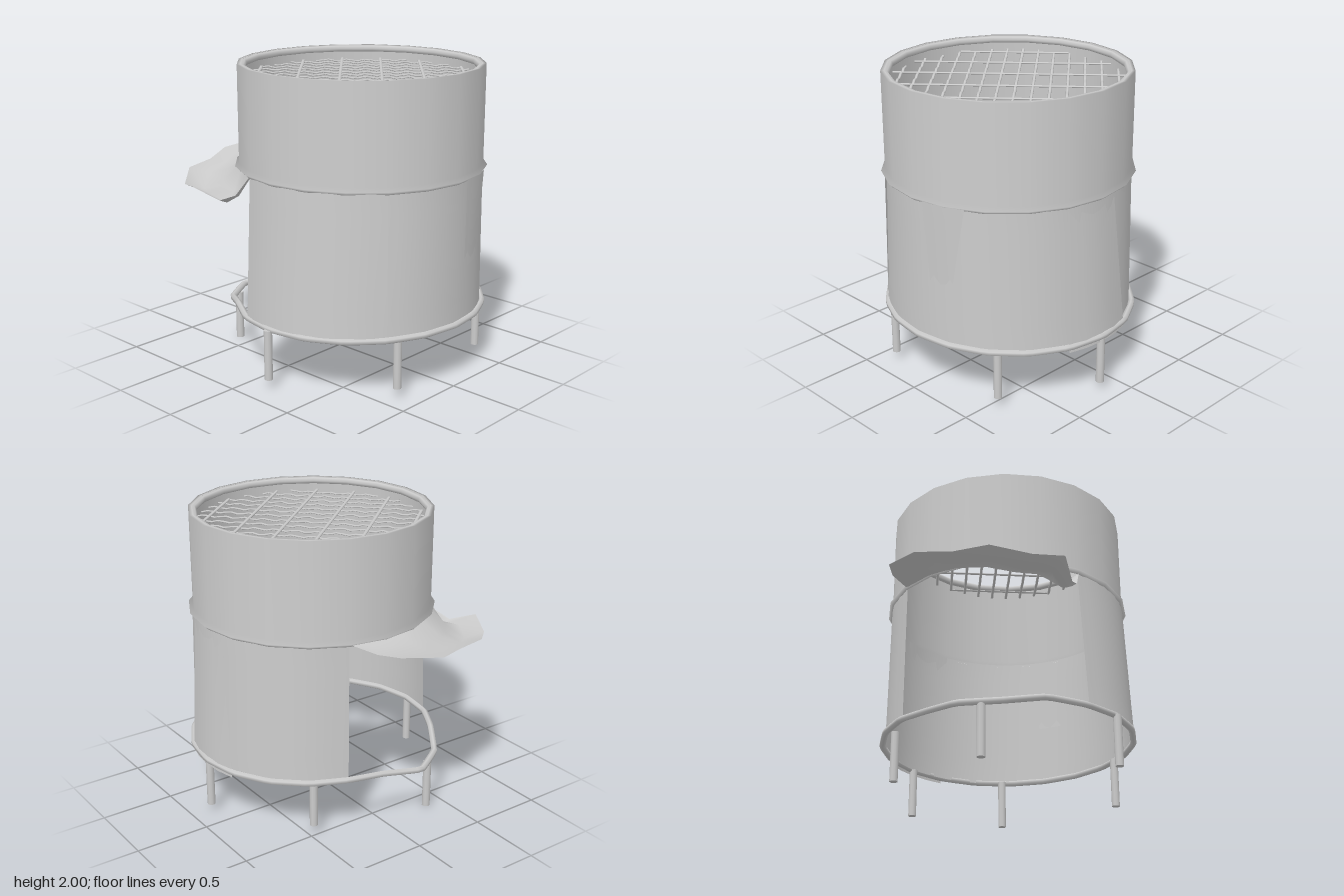
import * as THREE from 'three';

const CX = 0.16, CZ = -0.03, R = 0.802, SIDES = 20;
const rad = THREE.MathUtils.degToRad, lerp = THREE.MathUtils.lerp;

// point on the drum: angle in degrees (0 = +x, 90 = +z), radius, height
const polar = (deg, r, y) =>
  new THREE.Vector3(CX + r * Math.cos(rad(deg)), y, CZ + r * Math.sin(rad(deg)));

// smooth surface from a rule f(u, v) -> Vector3
function gridSurface(f, nu, nv) {
  const pos = [], index = [];
  for (let j = 0; j <= nv; j++)
    for (let i = 0; i <= nu; i++) pos.push(...f(i / nu, j / nv).toArray());
  for (let j = 0; j < nv; j++)
    for (let i = 0; i < nu; i++) {
      const a = j * (nu + 1) + i, b = a + 1, c = a + nu + 1, d = c + 1;
      index.push(a, b, c, b, d, c);
    }
  const g = new THREE.BufferGeometry();
  g.setAttribute('position', new THREE.Float32BufferAttribute(pos, 3));
  g.setIndex(index);
  g.computeVertexNormals();
  return g;
}

export function createModel() {
  const group = new THREE.Group();
  const steel = new THREE.MeshStandardMaterial({ color: 0xcccccc, side: THREE.DoubleSide });
  steel.name = 'bare steel';
  const add = (name, geometry, parent = group) => {
    const m = new THREE.Mesh(geometry, steel);
    m.name = name;
    parent.add(m);
    return m;
  };

  // upper drum wall running smoothly into the pointed lip at the middle
  const wall = [[0.806, 1.318], [0.828, 1.34], [R, 1.362], [R, 2], [0.778, 2]]
    .map(([r, y]) => new THREE.Vector2(r, y));
  add('upperDrum', new THREE.LatheGeometry(wall, SIDES)).position.set(CX, 0, CZ);

  // rim bead inside the top edge
  add('topRim', new THREE.TorusGeometry(0.772, 0.024, 6, SIDES).rotateX(Math.PI / 2))
    .position.set(CX, 1.976, CZ);

  // lower drum sheets, flared at the foot, more in front than behind
  const footRadius = (deg) => {
    const s = Math.sin(rad(deg));
    return R + (s > 0 ? 0.05 : 0.022) * s * s;
  };
  const sheet = (name, top, foot, lift, y1, n) =>
    add(name, gridSurface((u, v) => {
      const deg = lerp(lerp(top[0], top[1], u), lerp(foot[0], foot[1], u), v);
      const y = lerp(1.335, y1, v);
      const frontInset = 0.012 * Math.max(0, Math.sin(rad(deg)));
      const r = lerp(R - frontInset, footRadius(deg), (1.335 - y) / 0.935);
      return polar(deg, r + lerp(lift[0], lift[1], v), y);
    }, n, 6));
  sheet('lowerDrumBack', [-162, 40], [-162, 40], [-0.003, -0.003], 0.39, 24);
  sheet('lowerDrumFront', [36, 108], [36, 106.5], [0.01, 0], 0.4, 12);
  sheet('sidePatch', [-27, -6], [-20, -8], [0.016, -0.005], 0.8, 4);
  sheet('backOverlap', [-100, -72], [-107, -72], [-0.006, 0.025], 0.36, 4);

  // folded-up door flap: hinge along the middle lip, valley crease, ragged outer edge
  const outer = [
    [-0.63, 1.33, -0.27], [-0.81, 1.32, -0.22], [-0.93, 1.32, -0.14], [-1.0, 1.28, 0.14],
    [-0.9, 1.25, 0.36], [-0.84, 1.24, 0.6], [-0.66, 1.19, 0.79], [-0.46, 1.23, 0.895],
    [-0.28, 1.155, 0.82], [-0.17, 1.2, 0.78], [-0.08, 1.33, 0.74],
  ].map((p) => new THREE.Vector3(...p));
  const n = outer.length - 1;
  add('doorFlap', gridSurface((u, v) => {
    const p = polar(lerp(197, 107, u), R - 0.01, 1.33).lerp(outer[Math.round(u * n)], v);
    p.y -= 0.11 * Math.sin(Math.PI * v) * Math.sin(Math.PI * u * u);
    return p;
  }, n, 3));

  // bottom hoop, bent out and down below the door opening
  const bent = { 126: [0.83, 0.405], 144: [0.88, 0.35], 162: [0.905, 0.345], 180: [0.81, 0.38] };
  const ringPoints = [];
  for (let k = 0; k < SIDES; k++) {
    const deg = k * 18, [r, y] = bent[deg] || [R + 0.006 + 0.04 * Math.sin(rad(deg)) ** 2, 0.397];
    ringPoints.push(polar(deg, r, y));
  }
  const ringCurve = new THREE.CatmullRomCurve3(ringPoints, true, 'catmullrom', 0.1);
  add('bottomHoop', new THREE.TubeGeometry(ringCurve, 100, 0.022, 6, true));

  // six legs, the one below the bent hoop set lower
  const legs = new THREE.Group();
  legs.name = 'legs';
  group.add(legs);
  const legSpots = [[0.16, 0.83], [0.84, 0.37], [0.76, -0.54], [0.16, -0.865], [-0.47, -0.46], [-0.62, 0.37]];
  legSpots.forEach(([x, z], i) => {
    const low = i === 5 ? 0 : 0.06;
    add('leg', new THREE.CylinderGeometry(0.027, 0.027, 0.335, 10), legs).position.set(x, low + 0.1675, z);
  });

  // grate: flat crimped wires one way, flat straight bars the other
  const grate = new THREE.Group();
  grate.name = 'grate';
  grate.position.set(CX, 1.9, CZ);
  grate.rotation.y = rad(42);
  group.add(grate);
  for (let k = -6.5; k <= 6.5; k++) {
    const z = k * 0.108, half = Math.sqrt(0.77 ** 2 - z * z);
    const count = Math.max(8, Math.round(half * 48));
    const pts = [];
    for (let i = 0; i <= count; i++) {
      const x = lerp(-half, half, i / count);
      pts.push(new THREE.Vector3(x, 0.012 * Math.sin((x / 0.135) * Math.PI * 2), z));
    }
    const wire = new THREE.TubeGeometry(new THREE.CatmullRomCurve3(pts), count, 0.01, 6);
    add('crimpedWire', wire.scale(1, 0.5, 1), grate);
  }
  for (let k = -2.5; k <= 2.5; k++) {
    const x = k * 0.27, len = 2 * Math.sqrt(0.77 ** 2 - x * x);
    const bar = add('crossBar', new THREE.CylinderGeometry(0.011, 0.011, len, 6), grate);
    bar.rotation.x = Math.PI / 2;
    bar.scale.z = 0.6;
    bar.position.set(x, 0.006, 0);
  }

  return group;
}
